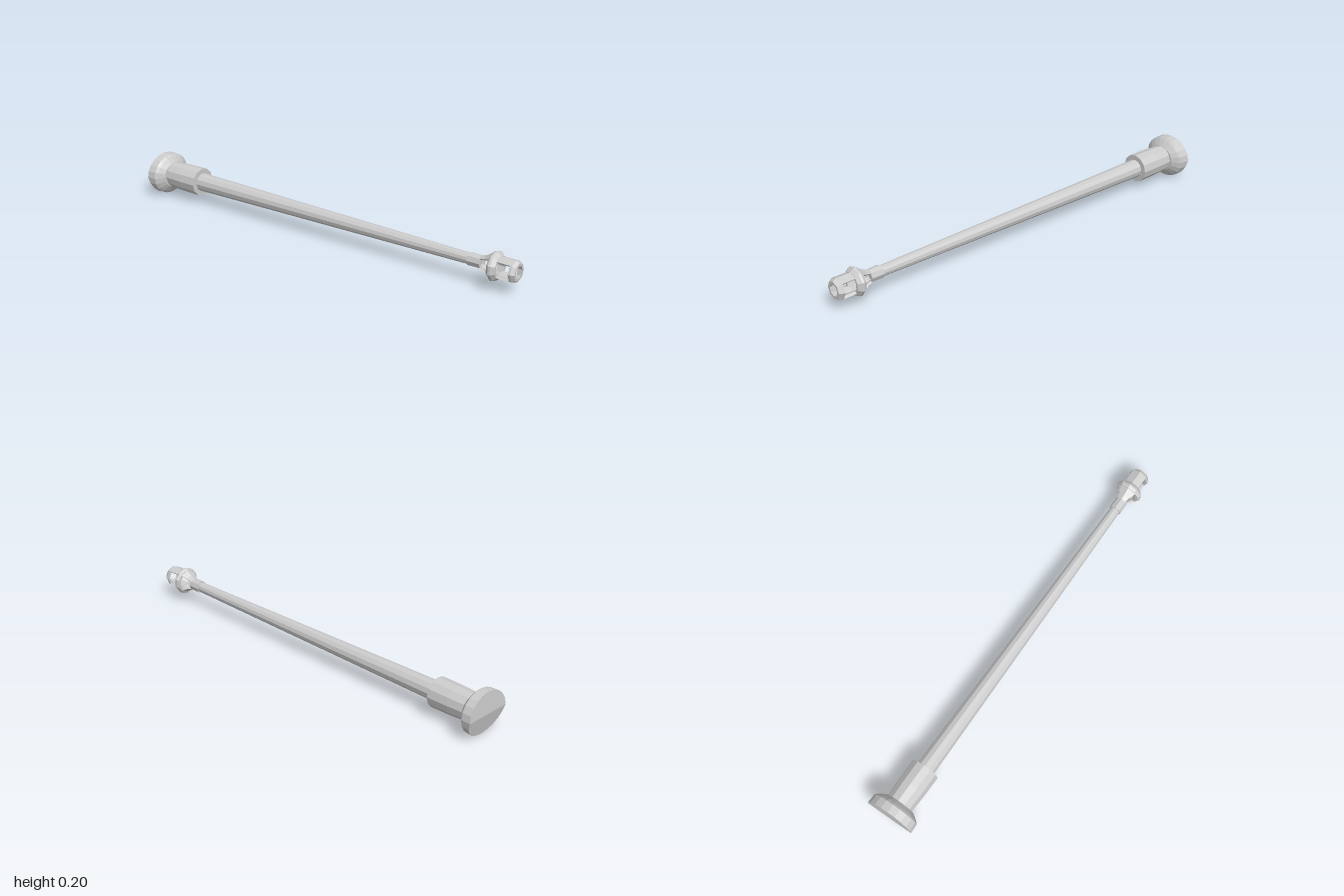
import * as THREE from 'three';
import { mergeGeometries } from 'three/addons/utils/BufferGeometryUtils.js';

const material = new THREE.MeshStandardMaterial({ color: 0xcccccc, flatShading: true, side: THREE.DoubleSide });
const toPoints = (pairs) => pairs.map(([r, y]) => new THREE.Vector2(r, y));

export function createModel() {
  const model = new THREE.Group();
  model.name = 'rod';
  // Everything is turned around local y, then laid along z
  const axis = new THREE.Group();
  axis.name = 'lyingAxis';
  axis.rotation.x = Math.PI / 2;
  axis.position.y = 0.1;
  model.add(axis);

  function add(name, geometry) {
    const mesh = new THREE.Mesh(geometry, material);
    mesh.name = name;
    axis.add(mesh);
  }
  function turned(name, pairs, sides) {
    add(name, new THREE.LatheGeometry(toPoints(pairs), sides));
  }
  // Part of a turned body with a closed section and capped ends
  function rib(name, pairs, middle) {
    const start = middle - Math.PI / 4, sweep = Math.PI / 2;
    const points = toPoints(pairs);
    const parts = [new THREE.LatheGeometry([...points, points[0].clone()], 2, start, sweep)];
    for (const phi of [start, start + sweep]) {
      parts.push(new THREE.ShapeGeometry(new THREE.Shape(points)).rotateY(phi - Math.PI / 2));
    }
    add(name, mergeGeometries(parts));
  }

  // Tapered shaft
  turned('shaft', [[0, -0.76], [0.044, -0.76], [0.024, 0.82], [0, 0.82]], 12);

  // Sleeve around the thick end
  turned('sleeve', [[0.062, -0.94], [0.064, -0.9], [0.067, -0.84], [0.068, -0.74], [0.042, -0.74]], 12);

  // Oval end plate with a ridge across its back
  const plate = new THREE.LatheGeometry(toPoints([
    [0, -1], [0.115, -1], [0.113, -0.955], [0.102, -0.945], [0.072, -0.925], [0.055, -0.925],
  ]), 20);
  const pos = plate.attributes.position;
  for (let i = 0; i < pos.count; i++) {
    const down = pos.getZ(i) * 0.87;
    pos.setZ(i, down);
    if (pos.getY(i) < -0.99) pos.setY(i, -1 + (down > 0 ? 0.26 * down : -0.05 * down));
  }
  add('endPlate', plate);

  // Collar and rings of the slotted tip
  turned('tipCollar', [
    [0.022, 0.77], [0.03, 0.77], [0.029, 0.83], [0.021, 0.83], [0.022, 0.77],
  ], 8);
  turned('flareRing', [
    [0.046, 0.878], [0.058, 0.878], [0.066, 0.89], [0.064, 0.9], [0.05, 0.915],
    [0.038, 0.915], [0.046, 0.878],
  ], 10);
  turned('frontRing', [
    [0.036, 0.975], [0.05, 0.975], [0.049, 0.985], [0.04, 1], [0.028, 1], [0.036, 0.975],
  ], 8);

  // Upper and lower ribs, leaving windows on both sides
  for (const [side, middle] of [['lower', 0], ['upper', Math.PI]]) {
    rib(side + 'FrontRib', [[0.038, 0.91], [0.05, 0.91], [0.05, 0.98], [0.038, 0.98]], middle);
    rib(side + 'FlareRib', [
      [0.021, 0.825], [0.029, 0.825], [0.038, 0.85], [0.059, 0.882], [0.046, 0.882], [0.028, 0.85],
    ], middle);
  }
  return model;
}
